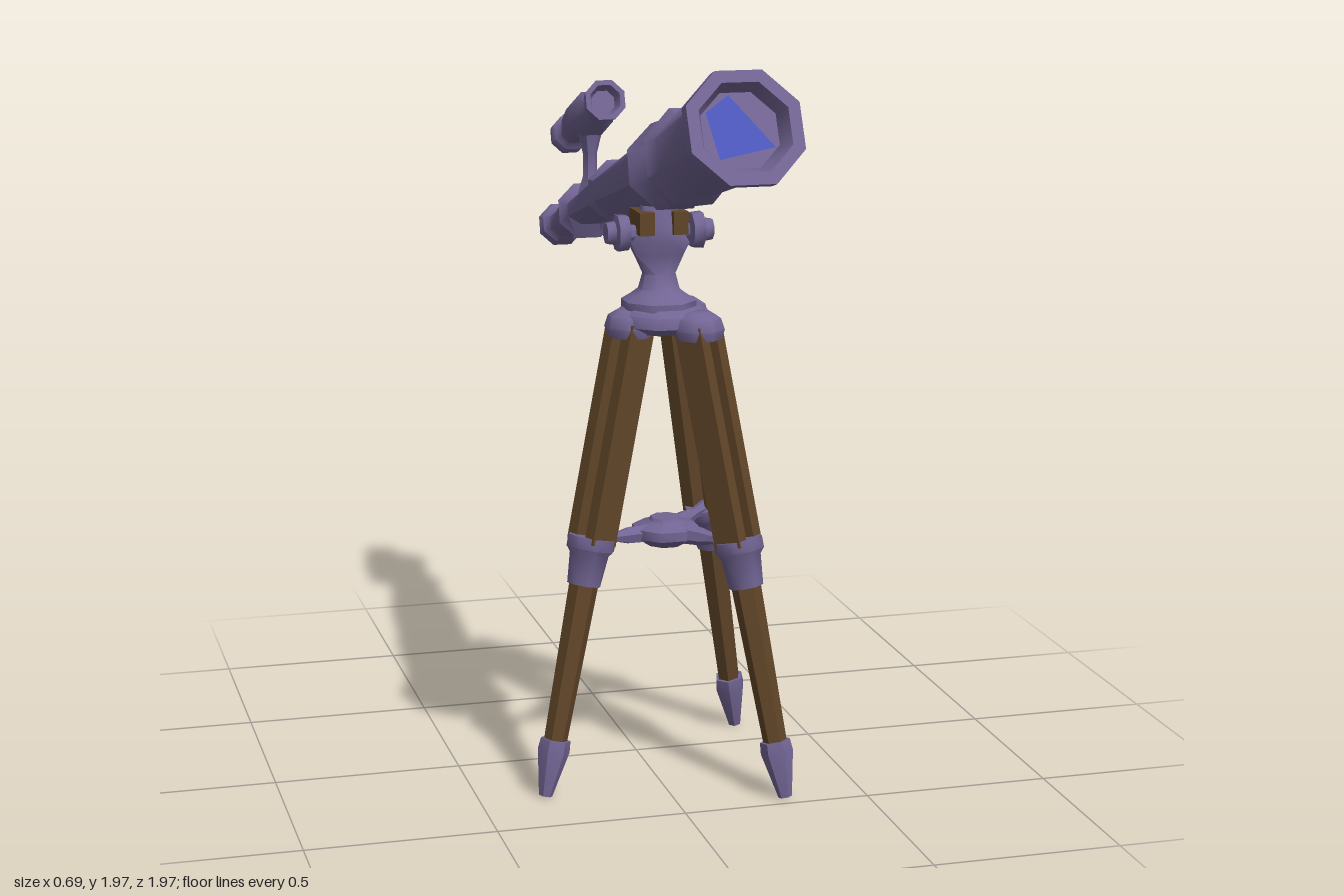
import * as THREE from 'three';
import { toCreasedNormals } from 'three/addons/utils/BufferGeometryUtils.js';

const mat = (name, color) => {
  const m = new THREE.MeshStandardMaterial({ color });
  m.name = name;
  return m;
};

export function createModel() {
  const purple = mat('purple metal', 0x726594);
  const wood = mat('brown wood', 0x604528);
  const blue = mat('blue glass', 0x4c58bd);
  const model = new THREE.Group();
  model.name = 'telescope';
  const V = (x, y, z) => new THREE.Vector3(x, y, z);

  function add(parent, name, geometry, material, x = 0, y = 0, z = 0) {
    const m = new THREE.Mesh(geometry, material);
    m.name = name;
    m.position.set(x, y, z);
    parent.add(m);
    return m;
  }

  // Turned part: rows of [height, radius, optional radius along x], bottom to top
  function turned(rows, sides = 8, bend) {
    const g = new THREE.LatheGeometry(rows.map(([h, r]) => new THREE.Vector2(r, h)), sides, Math.PI / sides);
    const p = g.attributes.position;
    for (let i = 0; i < p.count; i++) {
      const [, r, rx = r] = rows[i % rows.length];
      if (r > 0) p.setX(i, p.getX(i) * rx / r);
      if (bend) bend(p, i);
    }
    return toCreasedNormals(g, 0.9);
  }

  // Rows of [distance behind the front, radius, radius x], listed front to back
  const fromFront = rows => rows.map(([s, ...r]) => [-s, ...r]).reverse();

  function group(parent, name, x, y, z) {
    const g = new THREE.Group();
    g.name = name;
    g.position.set(x, y, z);
    parent.add(g);
    return g;
  }

  // Main tube, local +y points out of the front opening
  const scope = group(model, 'mainTube', 0.02, 1.85, 0.92);
  scope.rotation.x = 1.294;
  const tubeRows = fromFront([
    [0.05, 0], [0.05, 0.1], [0, 0.118], [0, 0.15], [0.04, 0.15], [0.06, 0.122, 0.135],
    [0.455, 0.113, 0.105], [0.485, 0.132, 0.125], [0.6, 0.122, 0.075], [0.665, 0.12, 0.125], [0.7, 0.096, 0.105],
    [1.14, 0.073, 0.1], [1.175, 0.095, 0.105], [1.2, 0.07, 0.095], [1.57, 0.046, 0.07],
    [1.6, 0.085, 0.09], [1.62, 0.053, 0.068], [1.67, 0.064, 0.07], [1.74, 0.055, 0.06],
    [1.8, 0.043, 0.052], [1.88, 0.045, 0.05], [1.895, 0.06, 0.068], [1.925, 0.055, 0.06],
    [1.94, 0.066, 0.07], [1.97, 0.058, 0.062], [1.96, 0],
  ]);
  // the hood rim leans forward at its lower edge
  add(scope, 'tubeShell', turned(tubeRows, 8, (p, i) => {
    if (p.getY(i) > -0.055) p.setY(i, p.getY(i) + p.getZ(i) * 0.2);
  }), purple);
  const lensShape = new THREE.Shape([[-0.08, 0.045], [-0.02, 0.088], [0.08, -0.045], [-0.06, -0.072]]
    .map(([x, y]) => new THREE.Vector2(x, y)));
  const lens = add(scope, 'frontLens', new THREE.ShapeGeometry(lensShape).rotateX(-Math.PI / 2), blue, 0, -0.044, 0);
  lens.rotation.x = -0.197;

  // Finder scope and its stand
  const finder = group(model, 'finderScope', 0.02, 1.755, -0.404);
  finder.rotation.x = 1.231;
  add(finder, 'finderShell', turned(fromFront([
    [0.03, 0], [0.03, 0.035], [0, 0.045], [0, 0.06], [0.035, 0.056], [0.06, 0.037], [0.1, 0.042],
    [0.17, 0.066], [0.23, 0.064], [0.355, 0.048], [0.37, 0.036], [0.4, 0.04], [0.415, 0.056],
    [0.435, 0.046], [0.45, 0.057], [0.475, 0.055], [0.47, 0],
  ])), purple);
  add(finder, 'finderEyeLens', new THREE.CircleGeometry(0.036, 6).rotateX(Math.PI / 2), blue, 0, -0.478, 0);
  add(model, 'finderStand', turned([[1.47, 0.035], [1.52, 0.02], [1.58, 0.02], [1.64, 0.035]], 6), purple, 0.02, 0, -0.585);

  // Mount: post, cradle and side knobs
  const mount = group(model, 'mount', 0.02, 0, 0.155);
  add(mount, 'mountPost', turned([
    [1.26, 0.1], [1.3, 0.1], [1.315, 0.075], [1.33, 0.055], [1.37, 0.034, 0.045],
    [1.42, 0.034, 0.07], [1.45, 0.048, 0.085], [1.49, 0.048, 0.06], [1.55, 0.035, 0.05],
  ]), purple);
  for (const s of [-1, 1]) {
    add(mount, 'cradleBlock', new THREE.BoxGeometry(0.04, 0.06, 0.11), wood, s * 0.045, 1.507, 0);
    const knob = add(mount, 'sideKnob', turned([
      [0, 0.02], [0.08, 0.02], [0.085, 0.047], [0.115, 0.05], [0.12, 0.032], [0.143, 0.028], [0.143, 0],
    ]), purple, 0, 1.48, 0);
    knob.rotation.z = -s * Math.PI / 2;
  }

  // Tripod head
  add(model, 'tripodHead', turned([
    [1.22, 0], [1.22, 0.1], [1.24, 0.13], [1.27, 0.125], [1.285, 0.1], [1.285, 0],
  ], 9), purple, 0.03, 0, 0.155);

  // Spreader hub
  const hub = V(0.035, 0.675, 0.17);
  add(model, 'spreaderHub', turned([
    [-0.035, 0], [-0.035, 0.05], [-0.01, 0.09], [0.015, 0.09], [0.03, 0.045], [0.04, 0.04], [0.04, 0],
  ]), purple, hub.x, hub.y, hub.z);

  // Legs, each from its foot to its top
  const H = 1.24;
  const legs = [
    [V(-0.325, 0.006, 0.29), V(-0.06, H, 0.17)],
    [V(0.285, 0.006, 0.46), V(0.1, H, 0.25)],
    [V(0.325, 0.006, -0.135), V(0.115, H, 0.05)],
  ];
  for (const [foot, top] of legs) {
    const leg = group(model, 'leg', foot.x, foot.y, foot.z);
    const dir = top.clone().sub(foot);
    const L = dir.length();
    dir.normalize();
    const side = dir.clone().cross(V(0, 1, 0)).normalize();
    leg.quaternion.setFromRotationMatrix(new THREE.Matrix4().makeBasis(side, dir, side.clone().cross(dir)));
    const k = L / H;

    add(leg, 'footTip', turned([[0, 0], [0, 0.018], [0.12 * k, 0.043], [0.15 * k, 0.04], [0.15 * k, 0]], 6), purple);
    add(leg, 'lowerLeg', turned([[0.14 * k, 0.031], [0.66 * k, 0.041]], 6), wood);
    add(leg, 'legClamp', turned([
      [0.56 * k, 0], [0.56 * k, 0.046], [0.64 * k, 0.054], [0.655 * k, 0.066], [0.685 * k, 0.066], [0.685 * k, 0],
    ]), purple);
    for (const s of [-1, 1]) {
      add(leg, 'upperRail', new THREE.BoxGeometry(0.036, 0.57 * k, 0.078), wood, s * 0.036, 0.955 * k, 0);
    }
    add(model, 'legBracket', turned([
      [1.21, 0], [1.21, 0.062], [1.235, 0.07], [1.265, 0.06], [1.28, 0.035], [1.28, 0],
    ]), purple, top.x, 0, top.z);

    // Spreader arm from the hub to the clamp
    const end = foot.clone().lerp(top, 0.675 / H);
    const span = end.clone().sub(hub);
    const n = span.length();
    const arm = add(model, 'spreaderArm', turned([[0, 0.03], [0.5 * n, 0.024], [0.65 * n, 0.015], [n, 0.022]], 6), purple, hub.x, hub.y, hub.z);
    arm.quaternion.setFromUnitVectors(V(0, 1, 0), span.normalize());
  }
  return model;
}
